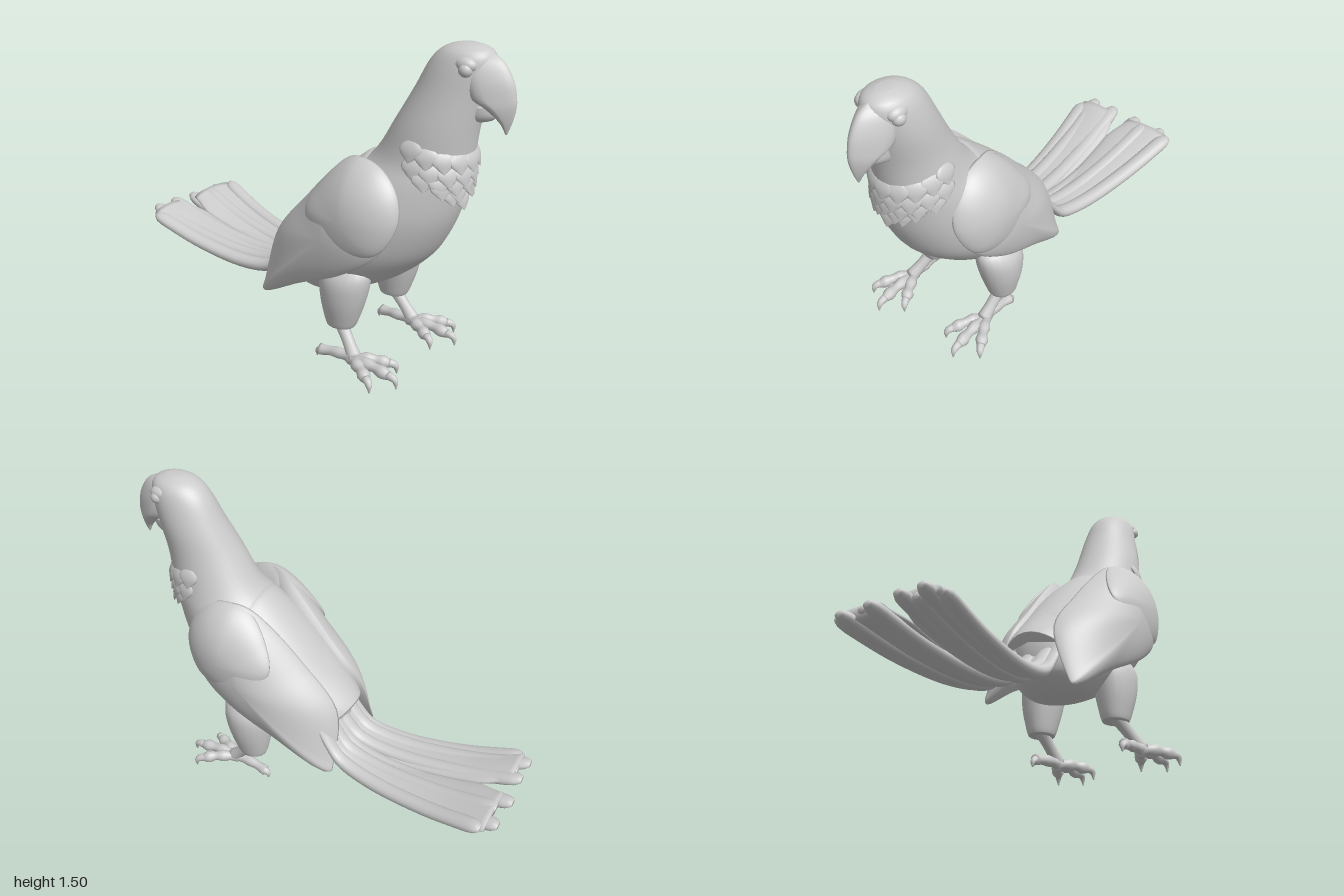
import * as THREE from 'three';

const { lerp, smoothstep } = THREE.MathUtils;
const V = (x, y, z) => new THREE.Vector3(x, y, z);
const material = new THREE.MeshStandardMaterial({ color: 0xcccccc });

// Closed smooth skin through rings of points: fn(u, angle) with a cap at each end
function skin(rows, cols, fn) {
  const pos = [], idx = [];
  const rings = [];
  for (let i = 0; i <= rows; i++) {
    const ring = [];
    for (let j = 0; j < cols; j++) ring.push(fn(i / rows, (j / cols) * Math.PI * 2));
    rings.push(ring);
  }
  const mean = r => r.reduce((s, p) => s.add(p), V(0, 0, 0)).divideScalar(cols);
  for (const r of rings) for (const p of r) pos.push(p);
  const first = pos.push(mean(rings[0])) - 1, last = pos.push(mean(rings[rows])) - 1;
  for (let j = 0; j < cols; j++) {
    const k = (j + 1) % cols;
    for (let i = 0; i < rows; i++) {
      const a = i * cols + j, b = i * cols + k;
      idx.push(a, a + cols, b, b, a + cols, b + cols);
    }
    idx.push(first, j, k, last, rows * cols + k, rows * cols + j);
  }
  // Turn the faces outward
  let volume = 0;
  for (let i = 0; i < idx.length; i += 3)
    volume += pos[idx[i]].dot(pos[idx[i + 1]].clone().cross(pos[idx[i + 2]]));
  if (volume < 0) idx.reverse();
  const g = new THREE.BufferGeometry().setFromPoints(pos);
  g.setIndex(idx);
  g.computeVertexNormals();
  return g;
}

// Smooth interpolation of a table of numbers
function sample(table, u) {
  const n = table.length - 1, f = u * n, i = Math.min(Math.floor(f), n - 1), t = f - i;
  const at = k => table[Math.max(0, Math.min(n, k))];
  return table[0].map((_, c) => {
    const a = at(i - 1)[c], b = at(i)[c], d = at(i + 1)[c], e = at(i + 2)[c];
    return 0.5 * (2 * b + (d - a) * t + (2 * a - 5 * b + 4 * d - e) * t * t + (3 * b - a - 3 * d + e) * t ** 3);
  });
}

// Point on a stack of level ellipses: rows of [y, zFront, zBack, halfWidth, xCentre]; pinch narrows the front
function slicePoint(table, u, a, pinch = 0) {
  const [y, zf, zb, w, cx] = sample(table, u);
  const narrow = 1 - pinch * Math.max(0, Math.cos(a));
  return V(cx + Math.sin(a) * w * narrow, y, (zf + zb) / 2 + (Math.cos(a) * (zf - zb)) / 2);
}
const stack = (table, rows, cols, pinch) => skin(rows, cols, (u, a) => slicePoint(table, u, a, pinch));

// Tapered round limb along a curve
function limb(points, radii, rows = 14, cols = 10) {
  const curve = new THREE.CatmullRomCurve3(points);
  const { normals, binormals } = curve.computeFrenetFrames(rows);
  const table = radii.map(r => [r]);
  return skin(rows, cols, (u, a) => {
    const k = Math.round(u * rows), r = sample(table, u)[0];
    return curve.getPointAt(u).addScaledVector(normals[k], Math.cos(a) * r).addScaledVector(binormals[k], Math.sin(a) * r);
  });
}

// Domed shell over a closed outline, flat on the inside
function shell(outline, peak, side) {
  const curve = new THREE.CatmullRomCurve3(outline.map(p => V(...p)), true);
  return skin(20, 72, (u, a) => {
    const e = curve.getPoint((a / (Math.PI * 2)) % 1);
    const inner = u > 0.85, k = inner ? 1 - (u - 0.85) * 4 : Math.sin((u / 0.85) * Math.PI / 2);
    const x = inner ? e.x - 0.04 : e.x + (peak[0] - e.x) * Math.pow(Math.max(0, 1 - k * k), 0.66);
    return V(-0.02 + side * x, lerp(peak[1], e.y, k), lerp(peak[2], e.z, k));
  });
}

const BODY = [
  [1.505, 0.82, 0.74, 0.03, 0.02], [1.48, 0.88, 0.67, 0.085, 0.02], [1.42, 0.895, 0.61, 0.115, 0.02],
  [1.3, 0.87, 0.55, 0.14, 0.015], [1.15, 0.84, 0.47, 0.162, 0], [1.0, 0.82, 0.38, 0.185, 0],
  [0.9, 0.805, 0.27, 0.22, -0.01], [0.75, 0.77, 0.1, 0.26, -0.02], [0.6, 0.7, -0.04, 0.28, -0.02],
  [0.5, 0.62, -0.09, 0.27, -0.02], [0.4, 0.5, -0.1, 0.24, -0.02], [0.32, 0.36, -0.08, 0.19, -0.02],
  [0.275, 0.26, 0, 0.14, -0.02], [0.258, 0.2, 0.06, 0.08, -0.02],
];
const UPPER_BEAK = [
  [1.485, 0.87, 0.72, 0.03, 0.02], [1.45, 0.935, 0.7, 0.075, 0.02], [1.38, 0.982, 0.72, 0.09, 0.02],
  [1.31, 1.0, 0.76, 0.088, 0.02], [1.265, 1.0, 0.86, 0.064, 0.02], [1.21, 0.988, 0.935, 0.03, 0.02],
  [1.16, 0.97, 0.962, 0.003, 0.02],
];
const LOWER_BEAK = [
  [1.265, 0.915, 0.76, 0.055, 0.02], [1.23, 0.92, 0.76, 0.052, 0.02],
  [1.205, 0.9, 0.76, 0.045, 0.02], [1.19, 0.86, 0.76, 0.025, 0.02],
];
const THIGH = [
  [0.5, 0.4, 0.3, 0.02, -0.02], [0.46, 0.455, 0.23, 0.075, -0.015], [0.4, 0.462, 0.21, 0.098, -0.005],
  [0.3, 0.44, 0.22, 0.092, 0], [0.2, 0.405, 0.24, 0.07, 0], [0.17, 0.39, 0.25, 0.06, 0],
];
const WING = [
  [0.18, 1.0, 0.42], [0.185, 0.97, 0.53], [0.2, 0.88, 0.62], [0.22, 0.76, 0.64], [0.265, 0.6, 0.56],
  [0.29, 0.48, 0.4], [0.28, 0.36, 0.16], [0.23, 0.215, -0.12], [0.2, 0.27, -0.125], [0.12, 0.51, -0.1],
  [0.12, 0.73, 0.08], [0.14, 0.9, 0.24], [0.16, 0.98, 0.34],
];
const COVERTS = [
  [0.18, 1.0, 0.42], [0.19, 0.975, 0.53], [0.205, 0.885, 0.62], [0.23, 0.76, 0.645], [0.275, 0.62, 0.57],
  [0.312, 0.59, 0.42], [0.31, 0.63, 0.28], [0.27, 0.73, 0.18], [0.21, 0.86, 0.23], [0.17, 0.97, 0.33],
];
// Back panel rows: [z, y, halfWidth]
const BACK = [
  [0.44, 0.9, 0.1], [0.37, 0.975, 0.15], [0.28, 0.92, 0.18], [0.14, 0.79, 0.2],
  [0, 0.64, 0.19], [-0.1, 0.54, 0.165], [-0.14, 0.495, 0.14],
];
// Tail line: [y, distance along z as a fraction of the feather length]
const TAIL = [[0.48, 0], [0.36, 0.08], [0.28, 0.18], [0.256, 0.4], [0.288, 0.7], [0.36, 1]];

export function createModel() {
  const model = new THREE.Group();
  const add = (name, geometry, parent = model) => {
    const mesh = new THREE.Mesh(geometry, material);
    mesh.name = name;
    parent.add(mesh);
    return mesh;
  };
  const group = name => {
    const g = new THREE.Group();
    g.name = name;
    model.add(g);
    return g;
  };

  add('body', stack(BODY, 52, 40));
  add('upperBeak', stack(UPPER_BEAK, 24, 32, 0.5));
  add('lowerBeak', stack(LOWER_BEAK, 10, 20, 0.3));

  // Arched panel down the back
  add('backPanel', skin(30, 24, (u, a) => {
    const [z, y, w] = sample(BACK, u), s = Math.cos(a);
    const d = -0.06 * s * s + 0.018 * Math.sin(a) - 0.012;
    return V(-0.01 + s * w, y + d * 0.72, z - d * 0.7);
  }));

  // Ruff of pointed feathers, row by row, dipping toward the breast
  const ruff = group('neckFeathers');
  const plume = skin(10, 12, (u, a) => {
    const r = Math.sin(Math.PI * Math.pow(u, 0.8)) * (u > 0.6 ? 0.95 : 1);
    return V(Math.cos(a) * 0.052 * r, 0.04 - u * 0.1, Math.sin(a) * 0.012 * r + u * 0.026 - 0.008);
  });
  [[0.365, 9, 1.5], [0.4, 8, 1.3], [0.432, 7, 1.0], [0.46, 4, 0.6], [0.483, 3, 0.34]].forEach(([u, n, spread]) => {
    for (let i = 0; i < n; i++) {
      const t = lerp(-1, 1, i / (n - 1)), a = t * spread;
      const m = add('neckFeather', plume, ruff);
      m.position.copy(slicePoint(BODY, u - 0.022 * t * t, a));
      m.rotation.set(-0.06, a, 0, 'YXZ');
    }
  });

  // Tail fan: two webs split by a notch, ribbed with feathers
  const tail = group('tail');
  const tips = [[-0.192, -0.93], [-0.142, -0.99], [-0.085, -0.95], [-0.025, -0.99],
    [0.118, -1.0], [0.195, -0.95], [0.278, -0.99], [0.342, -0.93]];
  const fanX = (base, tip, f) => lerp(base, tip, Math.pow(f, 1.15));
  for (const [base, tip, notch] of [[-0.13, -0.2, 0.01], [0.18, 0.35, 0.085]]) {
    add('tailWeb', skin(36, 28, (u, a) => {
      const [y, f] = sample(TAIL, u);
      const outer = fanX(base, tip, f), inner = lerp(0.046, notch, smoothstep(f, 0.84, 1));
      return V((outer + inner) / 2 + Math.cos(a) * (outer - inner) / 2, y + Math.sin(a) * 0.028, lerp(-0.03, -0.945, f));
    }), tail);
  }
  tips.forEach(([tipX, tipZ], i) => {
    const baseX = lerp(-0.118, 0.168, i / 7), lift = i % 2 ? 0.008 : -0.008;
    add('tailFeather', skin(36, 14, (u, a) => {
      const [y, f] = sample(TAIL, u);
      const end = u > 0.95 ? Math.sqrt(Math.max(0.3, 1 - ((u - 0.95) / 0.05) ** 2)) : 1;
      return V(fanX(baseX, tipX, f) + Math.cos(a) * lerp(0.036, 0.042, u) * end,
        y + lift + Math.sin(a) * lerp(0.036, 0.028, u) * end, lerp(-0.03, tipZ, f));
    }), tail);
  });

  for (const side of [1, -1]) {
    const label = side > 0 ? 'left' : 'right';

    // Eye under a soft brow
    const eye = add(label + 'Eye', new THREE.SphereGeometry(0.03, 16, 12));
    eye.position.set(0.02 + side * 0.094, 1.418, 0.82);
    const brow = add(label + 'Brow', new THREE.SphereGeometry(0.045, 20, 14));
    brow.scale.set(0.75, 0.75, 1.1);
    brow.position.set(0.02 + side * 0.08, 1.435, 0.81);

    add(label + 'Wing', shell(WING, [0.34, 0.64, 0.32], side));
    add(label + 'WingCoverts', shell(COVERTS, [0.343, 0.74, 0.42], side));

    // Leg, with the foot set a little to one side
    const leg = group(label + 'Leg');
    add('thigh', skin(20, 20, (u, a) => {
      const p = slicePoint(THIGH, u, a);
      return V(side * (p.x + 0.205), p.y, p.z);
    }), leg);
    const fx = side * 0.23 - 0.038;
    const ankle = V(fx, 0.06, 0.45);
    add('shank', limb([V(side * 0.205, 0.21, 0.3), V(lerp(side * 0.205, fx, 0.5), 0.13, 0.38), ankle],
      [0.038, 0.03, 0.028, 0.034]), leg);
    [[0.1, 0.6], [0.005, 0.665], [-0.09, 0.6]].forEach(([dx, z]) => {
      const at = (f, y) => V(fx + side * dx * f, y, lerp(0.43, z, f));
      add('toe', limb([at(0, 0.055), at(0.5, 0.062), at(0.95, 0.05)],
        [0.03, 0.023, 0.03, 0.022, 0.03, 0.016], 18), leg);
      add('claw', limb([at(0.88, 0.055), at(1.04, 0.045), at(1.08, 0.004)], [0.02, 0.015, 0.003], 8), leg);
    });
    const hx = fx + side * 0.01;
    add('hindToe', limb([ankle, V(fx, 0.055, 0.35), V(hx, 0.042, 0.26)], [0.034, 0.024, 0.027, 0.022, 0.027], 16), leg);
    add('hindClaw', limb([V(hx, 0.042, 0.27), V(hx, 0.03, 0.245), V(hx, 0.004, 0.24)], [0.022, 0.015, 0.004], 8), leg);
  }
  return model;
}
